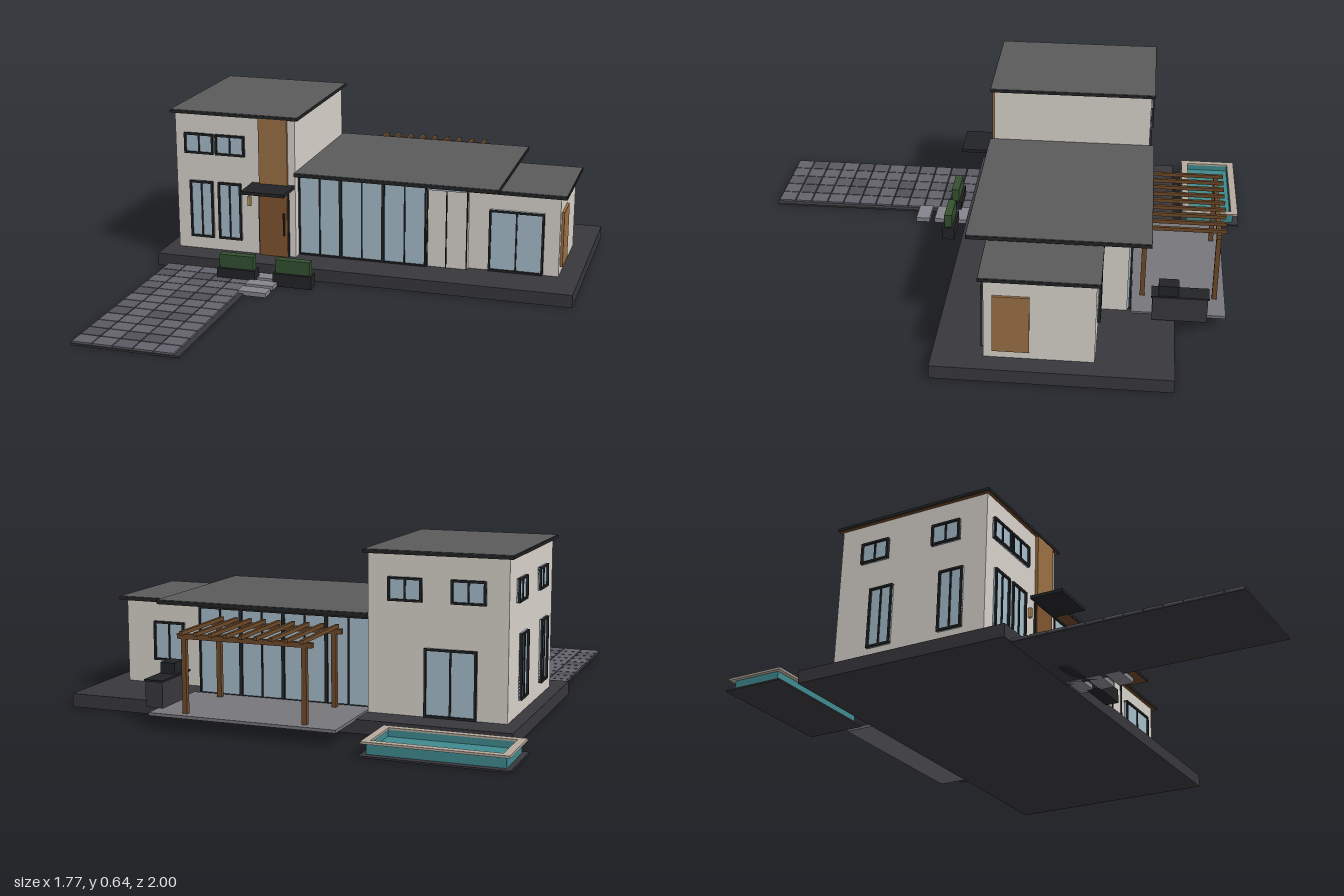
import * as THREE from 'three';

const COLORS = {
  wall: 0xd8d3cb, wood: 0x9a7044, door: 0x80552f, timber: 0x6e4a2a, soffit: 0x6b4526,
  dark: 0x222326, plinth: 0x38373c, roof: 0x5a5a5c, glass: 0xa6bdcb, patio: 0x77767c,
  stone: 0x85838c, green: 0x34502f, rim: 0xb5aa9c, water: 0x3f8a8f, brass: 0xc09a60,
  tileA: 0x5a5963, tileB: 0x64636d, tileC: 0x52515a,
};
const mats = {};
const mat = (c) => (mats[c] ??= new THREE.MeshStandardMaterial({ color: COLORS[c] }));

// Box given by its limits on each axis
function box(parent, name, color, x0, x1, y0, y1, z0, z1) {
  const m = new THREE.Mesh(new THREE.BoxGeometry(x1 - x0, y1 - y0, z1 - z0), mat(color));
  m.position.set((x0 + x1) / 2, (y0 + y1) / 2, (z0 + z1) / 2);
  m.name = name;
  parent.add(m);
  return m;
}

function group(parent, name) {
  const g = new THREE.Group();
  g.name = name;
  parent.add(g);
  return g;
}

// Framed window on a wall; a0..a1 runs along the wall, panes split by mullions
function windowOn(parent, name, side, at, a0, a1, y0, y1, panes = 2, t = 0.008) {
  const g = group(parent, name);
  const w = a1 - a0, mid = (a0 + a1) / 2, h = w / 2, d = 0.013;
  box(g, 'glass', 'glass', -h, h, y0, y1, -0.004, 0.005);
  box(g, 'sill', 'dark', -h, h, y0, y0 + t, -0.004, d);
  box(g, 'head', 'dark', -h, h, y1 - t, y1, -0.004, d);
  for (const s of [-1, 1]) box(g, 'jamb', 'dark', s * (h - t / 2) - t / 2, s * (h - t / 2) + t / 2, y0, y1, -0.004, d);
  for (let i = 1; i < panes; i++) {
    const x = -h + (w * i) / panes;
    box(g, 'mullion', 'dark', x - 0.003, x + 0.003, y0, y1, -0.004, 0.01);
  }
  if (side === 'front' || side === 'back') g.position.set(mid, 0, at);
  else g.position.set(at, 0, mid);
  g.rotation.y = { front: 0, back: Math.PI, left: -Math.PI / 2 }[side];
}

// Flat roof: timber soffit, dark fascia and grey top
function flatRoof(parent, x0, x1, y0, y1, z0, z1) {
  const g = group(parent, 'flatRoof');
  box(g, 'soffit', 'soffit', x0 + 0.003, x1 - 0.003, y0 - 0.002, y0, z0 + 0.003, z1 - 0.003);
  box(g, 'fascia', 'dark', x0, x1, y0, y1 - 0.001, z0, z1);
  box(g, 'roofTop', 'roof', x0 + 0.002, x1 - 0.002, y1 - 0.001, y1 + 0.001, z0 + 0.002, z1 - 0.002);
}

function buildTower(root) {
  const g = group(root, 'tower');
  box(g, 'towerWalls', 'wall', -0.77, -0.26, 0.05, 0.625, -0.605, 0.03);
  flatRoof(g, -0.787, -0.243, 0.626, 0.638, -0.62, 0.045);
  // Front windows
  for (const [a, b] of [[-0.73, -0.605], [-0.597, -0.472]]) windowOn(g, 'upperFrontWindow', 'front', 0.03, a, b, 0.46, 0.545);
  for (const [a, b] of [[-0.712, -0.612], [-0.59, -0.49]]) windowOn(g, 'lowerFrontWindow', 'front', 0.03, a, b, 0.105, 0.345);
  // Side and rear windows
  for (const [a, b] of [[-0.51, -0.39], [-0.2, -0.08]]) windowOn(g, 'upperSideWindow', 'left', -0.77, a, b, 0.46, 0.545);
  for (const [a, b] of [[-0.46, -0.36], [-0.16, -0.06]]) windowOn(g, 'lowerSideWindow', 'left', -0.77, a, b, 0.105, 0.345);
  for (const [a, b] of [[-0.46, -0.335], [-0.69, -0.565]]) windowOn(g, 'upperRearWindow', 'back', -0.605, a, b, 0.46, 0.545);
  windowOn(g, 'rearDoor', 'back', -0.605, -0.66, -0.47, 0.055, 0.3);
  // Entrance
  box(g, 'woodCladding', 'wood', -0.41, -0.29, 0.35, 0.626, 0.03, 0.042);
  box(g, 'doorFrame', 'dark', -0.416, -0.286, 0.053, 0.338, 0.028, 0.037);
  box(g, 'frontDoor', 'door', -0.41, -0.292, 0.053, 0.332, 0.03, 0.041);
  box(g, 'doorHandle', 'dark', -0.308, -0.302, 0.145, 0.238, 0.041, 0.05);
  box(g, 'wallLamp', 'brass', -0.461, -0.449, 0.258, 0.296, 0.03, 0.044);
  box(g, 'canopy', 'dark', -0.443, -0.262, 0.343, 0.356, 0.03, 0.165);
}

function buildMainHall(root) {
  const g = group(root, 'mainHall');
  box(g, 'hallWalls', 'wall', -0.26, 0.437, 0.05, 0.398, -0.545, -0.02);
  flatRoof(g, -0.26, 0.57, 0.398, 0.412, -0.625, 0.048);
  // Front glazing
  for (let i = 0; i < 3; i++) {
    const a = -0.26 + i * 0.177;
    windowOn(g, 'frontGlazing', 'front', -0.02, a, a + 0.177, 0.053, 0.395, 2, 0.006);
  }
  // Clerestory strip and panel seams
  box(g, 'clerestory', 'glass', 0.272, 0.437, 0.372, 0.39, -0.03, -0.014);
  for (const x of [0.275, 0.352, 0.435]) box(g, 'panelSeam', 'dark', x - 0.002, x + 0.002, 0.053, 0.39, -0.03, -0.014);
  // Rear glazing
  for (let i = 0; i < 4; i++) {
    const a = -0.25 + i * 0.17;
    windowOn(g, 'rearGlazing', 'back', -0.545, a, a + 0.17, 0.055, 0.385, 2, 0.006);
  }
}

function buildWing(root) {
  const g = group(root, 'sideWing');
  box(g, 'wingWalls', 'wall', 0.43, 0.798, 0.05, 0.374, -0.44, -0.043);
  flatRoof(g, 0.437, 0.824, 0.374, 0.387, -0.455, -0.025);
  windowOn(g, 'wingFrontWindow', 'front', -0.04, 0.52, 0.737, 0.055, 0.307);
  windowOn(g, 'wingRearWindow', 'back', -0.44, 0.55, 0.68, 0.145, 0.297);
  box(g, 'woodPanel', 'wood', 0.798, 0.808, 0.083, 0.308, -0.207, -0.075);
}

function buildTerrace(root) {
  const g = group(root, 'terrace');
  box(g, 'patioSlab', 'patio', -0.257, 0.453, 0.049, 0.06, -0.912, -0.56);
  // Pergola
  const p = group(g, 'pergola');
  for (const z of [-0.6, -0.873]) {
    box(p, 'beam', 'timber', -0.16, 0.35, 0.327, 0.345, z - 0.009, z + 0.009);
    for (const x of [-0.13, 0.325]) box(p, 'post', 'timber', x - 0.009, x + 0.009, 0.06, 0.328, z - 0.009, z + 0.009);
  }
  for (let i = 0; i < 9; i++) {
    const x = -0.13 + i * 0.0569;
    box(p, 'rafter', 'timber', x - 0.006, x + 0.006, 0.343, 0.357, -0.902, -0.572);
  }
  // Outdoor kitchen
  box(g, 'kitchenCounter', 'plinth', 0.435, 0.503, 0.06, 0.155, -0.84, -0.637);
  box(g, 'counterTop', 'dark', 0.43, 0.506, 0.155, 0.162, -0.845, -0.632);
  box(g, 'grill', 'dark', 0.443, 0.5, 0.162, 0.203, -0.732, -0.658);
}

function buildPool(root) {
  const g = group(root, 'pool');
  const x0 = -0.865, x1 = -0.39, z0 = -0.975, z1 = -0.78, w = 0.01;
  box(g, 'poolBase', 'plinth', -0.885, -0.37, 0, 0.006, -1, -0.757);
  box(g, 'water', 'water', x0 + w, x1 - w, 0.006, 0.022, z0 + w, z1 - w);
  // Basin walls and rim form a ring around the water
  const ring = (name, c, a0, a1, b0, b1, y0, y1, t) => {
    box(g, name, c, a0, a1, y0, y1, b0, b0 + t);
    box(g, name, c, a0, a1, y0, y1, b1 - t, b1);
    box(g, name, c, a0, a0 + t, y0, y1, b0 + t, b1 - t);
    box(g, name, c, a1 - t, a1, y0, y1, b0 + t, b1 - t);
  };
  ring('basinWall', 'water', x0, x1, z0, z1, 0.006, 0.046, w);
  ring('poolRim', 'rim', -0.88, -0.375, -0.995, -0.762, 0.045, 0.053, 0.028);
}

function buildGarden(root) {
  // Paved driveway
  const d = group(root, 'driveway');
  box(d, 'driveBase', 'plinth', -0.775, -0.36, 0, 0.007, 0.14, 0.995);
  const tones = ['tileA', 'tileB', 'tileC'];
  for (let r = 0; r < 12; r++) for (let c = 0; c < 5; c++) {
    const x = -0.773 + c * 0.079, z = 0.14 + r * 0.0712;
    box(d, 'paver', tones[(r * 2 + c * c + r * c) % 3], x, x + 0.075, 0.007, 0.014, z, z + 0.067);
  }
  // Stepping stones
  for (let i = 0; i < 3; i++) {
    const z = 0.152 + i * 0.079;
    box(root, 'steppingStone', 'stone', -0.385, -0.27, 0, 0.018, z, z + 0.057);
  }
  // Planters with clipped hedges
  for (const x of [-0.443, -0.208]) {
    box(root, 'planter', 'dark', x - 0.08, x + 0.08, 0, 0.053, 0.185, 0.237);
    box(root, 'hedge', 'green', x - 0.071, x + 0.071, 0.053, 0.108, 0.195, 0.227);
  }
}

export function createModel() {
  const root = new THREE.Group();
  root.name = 'house';
  box(root, 'plinth', 'plinth', -0.82, 0.881, 0.002, 0.053, -0.722, 0.143);
  buildTower(root);
  buildMainHall(root);
  buildWing(root);
  buildTerrace(root);
  buildPool(root);
  buildGarden(root);
  return root;
}
